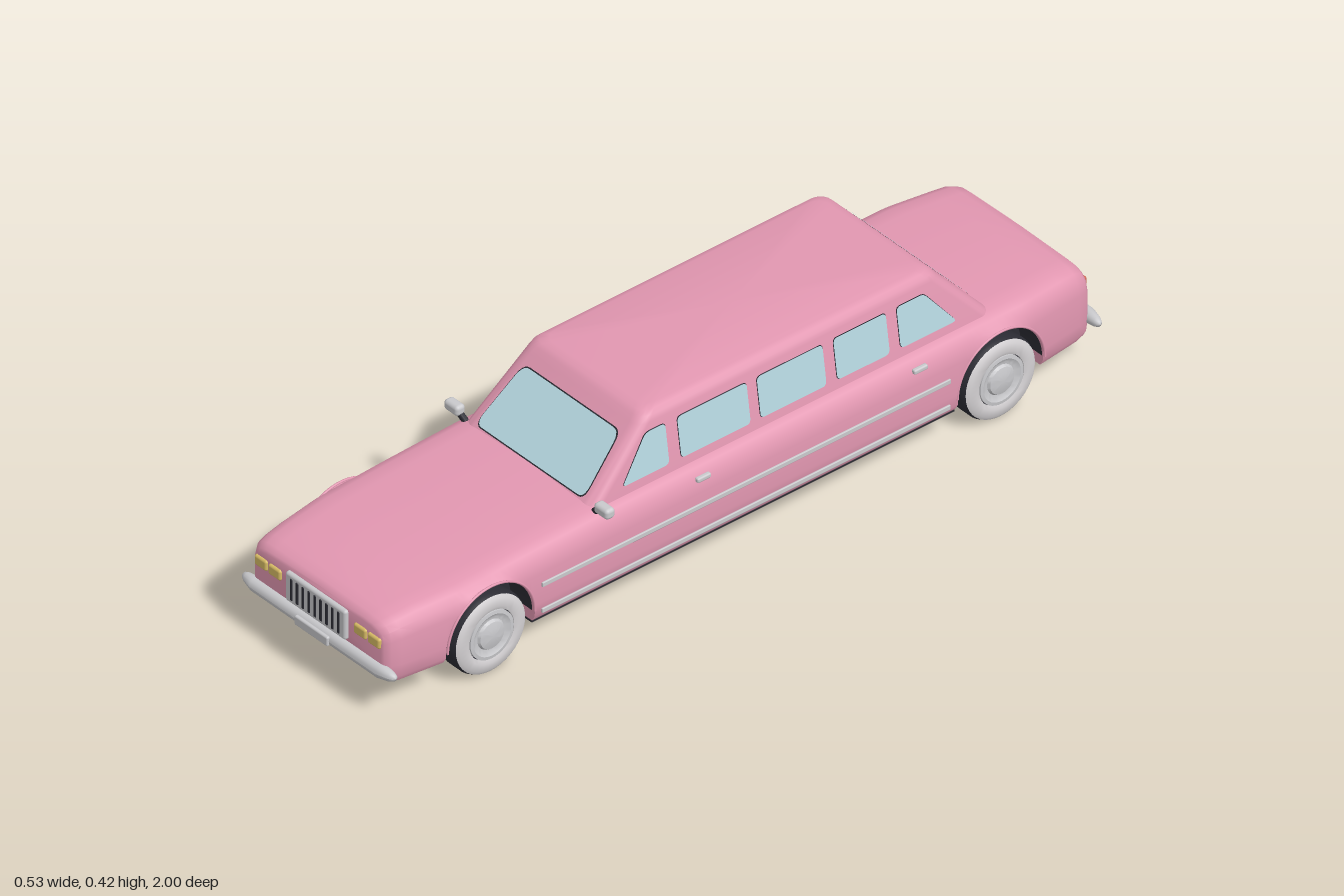
import * as THREE from 'three';
import { toCreasedNormals } from 'three/addons/utils/BufferGeometryUtils.js';
import { RoundedBoxGeometry } from 'three/addons/geometries/RoundedBoxGeometry.js';

const paint = (name, color, side = THREE.FrontSide) => {
  const m = new THREE.MeshStandardMaterial({ color, side });
  m.name = name;
  return m;
};
const M = {
  pink: paint('pink paint', 0xe297b1),
  glass: paint('pale blue glass', 0xb6d8e1, THREE.DoubleSide),
  chrome: paint('chrome grey', 0xc9c9cc),
  wall: paint('white wall', 0xd4d1d3),
  dark: paint('dark rubber', 0x2b2b33, THREE.DoubleSide),
  amber: paint('amber lamp', 0xd8bc66),
  red: paint('red lamp', 0xcf6552),
};
const AXLES = [0.708, -0.703], ARCH_Y = 0.105, ARCH_R = 0.12, SILL = 0.075;

// Surface through equal rings of points, with both ends closed by fans
function loft(rings, crease) {
  const n = rings[0].length, pos = rings.flat(2), idx = [];
  for (let s = 0; s < rings.length - 1; s++)
    for (let i = 0; i < n; i++) {
      const a = s * n + i, b = s * n + (i + 1) % n, c = a + n, d = b + n;
      idx.push(a, c, b, b, c, d);
    }
  [0, rings.length - 1].forEach((s, end) => {
    const mid = [0, 1, 2].map(k => rings[s].reduce((t, p) => t + p[k], 0) / n);
    const m = pos.push(...mid) / 3 - 1;
    for (let i = 0; i < n; i++) {
      const a = s * n + i, b = s * n + (i + 1) % n;
      idx.push(m, ...(end ? [b, a] : [a, b]));
    }
  });
  const g = new THREE.BufferGeometry();
  g.setAttribute('position', new THREE.Float32BufferAttribute(pos, 3));
  g.setIndex(idx);
  return toCreasedNormals(g, crease);
}

// Lower body: half section, bottom to centre, shaped along z
const HALF = [[0.236, SILL], [0.245, 0.09], [0.247, 0.12], [0.247, 0.2], [0.24, 0.234],
  [0.226, 0.251], [0.205, 0.26], [0.17, 0.263], [0, 0.266]];
const TOP = [[-0.98, 0.246], [-0.93, 0.26], [-0.8, 0.265], [0.4, 0.265], [0.6, 0.257], [0.9, 0.24], [0.98, 0.226]];
function topAt(z) {
  const i = Math.max(1, TOP.findIndex(p => p[0] >= z));
  const [a, b] = [TOP[i - 1], TOP[i]];
  return a[1] + (b[1] - a[1]) * (z - a[0]) / (b[0] - a[0]);
}
function bodyRing(z, bottom = SILL, inset = 0) {
  const w = (1 - 0.1 * Math.max(0, (Math.abs(z) - 0.78) / 0.19)) * (1 - inset / 0.24);
  const half = HALF.map(([x, y]) => {
    let h = y + (topAt(z) - 0.266) * Math.max(0, (y - 0.15) / 0.116);
    h = Math.max(h, bottom);
    return [x * w, 0.16 + (h - 0.16) * (1 - inset / 0.085), z];
  });
  return [...half, ...half.slice(0, -1).reverse().map(([x, y]) => [-x, y, z])];
}
function bodyGeometry() {
  const arch = zc => {
    const out = [bodyRing(zc + ARCH_R)];
    for (let i = 0; i <= 20; i++) {
      const t = Math.PI * i / 20;
      out.push(bodyRing(zc + ARCH_R * Math.cos(t), ARCH_Y + ARCH_R * Math.sin(t)));
    }
    return [...out, bodyRing(zc - ARCH_R)];
  };
  return loft([
    bodyRing(0.978, SILL, 0.02), bodyRing(0.975, SILL, 0.012), bodyRing(0.963, SILL, 0.003),
    bodyRing(0.94), bodyRing(0.89), ...arch(AXLES[0]),
    ...[0.5, 0.4, 0, -0.4].map(z => bodyRing(z)), ...arch(AXLES[1]),
    bodyRing(-0.89), bodyRing(-0.935), bodyRing(-0.96, SILL, 0.003),
    bodyRing(-0.971, SILL, 0.012), bodyRing(-0.974, SILL, 0.02),
  ], 0.6);
}

// Cabin: rounded rectangles stacked upwards
function cabinRing([y, hx, zf, zr, r]) {
  const ring = [];
  [[1, zf], [-1, zf], [-1, zr], [1, zr]].forEach(([sx, z], q) => {
    const cz = z + (q < 2 ? -r : r);
    for (let i = 0; i <= 5; i++) {
      const t = (q + i / 5) * Math.PI / 2;
      ring.push([sx * (hx - r) + r * Math.cos(t), y, cz + r * Math.sin(t)]);
    }
  });
  return ring;
}
const cabinGeometry = () => loft([
  [0.25, 0.212, 0.41, -0.715, 0.03], [0.395, 0.191, 0.255, -0.585, 0.03], [0.408, 0.187, 0.243, -0.575, 0.03],
  [0.416, 0.179, 0.232, -0.565, 0.03], [0.42, 0.165, 0.215, -0.55, 0.03],
].map(cabinRing), 0.6);
const rise = y => (y - 0.25) / 0.145;
const sideX = y => 0.212 - 0.021 * rise(y);
const frontZ = y => 0.41 - 0.155 * rise(y);
const rearZ = y => -0.715 + 0.13 * rise(y);

// Rounded polygon laid on a sloping cabin face by a mapping rule
function pane(pts, r, place) {
  const v = pts.map(p => new THREE.Vector2(...p)), n = v.length, s = new THREE.Shape();
  v.forEach((p, i) => {
    const a = p.clone().add(v[(i + n - 1) % n].clone().sub(p).setLength(r));
    const b = p.clone().add(v[(i + 1) % n].clone().sub(p).setLength(r));
    i ? s.lineTo(a.x, a.y) : s.moveTo(a.x, a.y);
    s.quadraticCurveTo(p.x, p.y, b.x, b.y);
  });
  const g = new THREE.ShapeGeometry(s, 5), pos = g.attributes.position;
  for (let i = 0; i < pos.count; i++) pos.setXYZ(i, ...place(pos.getX(i), pos.getY(i)));
  g.computeVertexNormals();
  return g;
}
const grow = (pts, d) => {
  const c = [0, 1].map(k => pts.reduce((t, p) => t + p[k], 0) / pts.length);
  return pts.map(p => p.map((q, k) => q + d * Math.sign(q - c[k])));
};

// Bumper: tapered bar bent slightly back at its ends
function bumperGeometry() {
  const pts = [[0, -0.248], [0.007, -0.245], [0.012, -0.234], [0.017, -0.205], [0.017, 0.205],
    [0.012, 0.234], [0.007, 0.245], [0, 0.248]].map(p => new THREE.Vector2(...p));
  const g = new THREE.LatheGeometry(pts, 16).rotateZ(-Math.PI / 2);
  const p = g.attributes.position;
  for (let i = 0; i < p.count; i++) p.setZ(i, p.getZ(i) - 0.1 * Math.max(0, Math.abs(p.getX(i)) - 0.18));
  g.computeVertexNormals();
  return g;
}

export function createModel() {
  const car = new THREE.Group();
  car.name = 'limousine';
  const add = (name, geo, mat, x = 0, y = 0, z = 0, parent = car) => {
    const m = new THREE.Mesh(geo, mat);
    m.name = name;
    m.position.set(x, y, z);
    parent.add(m);
    return m;
  };
  const box = (w, h, d, r) => new RoundedBoxGeometry(w, h, d, 3, r);
  const lathe = pts => toCreasedNormals(new THREE.LatheGeometry(
    pts.map(p => new THREE.Vector2(...p)), 40).rotateZ(-Math.PI / 2), 0.6);
  const halfDrum = (length, open) => new THREE.CylinderGeometry(
    0.1175, 0.1175, length, 32, 1, open, 0, Math.PI).rotateZ(Math.PI / 2);

  add('lowerBody', bodyGeometry(), M.pink);
  add('cabin', cabinGeometry(), M.pink);
  add('chassis', new THREE.BoxGeometry(0.332, 0.12, 1.25), M.dark, 0, 0.118, 0);
  add('floor', new THREE.BoxGeometry(0.464, 0.03, 1.17), M.dark, 0, 0.081, 0);
  for (const z of AXLES) add('wheelWell', halfDrum(0.34, false), M.dark, 0, ARCH_Y, z);

  // Windscreen and rear window, each over a dark seal
  const ends = [
    ['windscreen', [[-0.176, 0.267], [0.176, 0.267], [0.156, 0.376], [-0.156, 0.376]], frontZ, 1],
    ['rearWindow', [[-0.172, 0.273], [0.172, 0.273], [0.153, 0.374], [-0.153, 0.374]], rearZ, -1],
  ];
  for (const [name, pts, zAt, s] of ends) {
    add(name + 'Seal', pane(grow(pts, 0.002), 0.02, (x, y) => [x, y + 0.001, zAt(y) + s * 0.001]), M.dark);
    add(name, pane(pts, 0.02, (x, y) => [x, y + 0.002, zAt(y) + s * 0.002]), M.glass);
  }

  // Side windows as (z, y) outlines
  const bar = (z0, z1) => [[z0, 0.279], [z0, 0.378], [z1, 0.378], [z1, 0.279]];
  const sideWindows = [
    [[0.315, 0.279], [0.24, 0.378], [0.185, 0.378], [0.185, 0.279]],
    bar(0.152, -0.04), bar(-0.068, -0.25), bar(-0.28, -0.425),
    [[-0.455, 0.279], [-0.455, 0.378], [-0.53, 0.378], [-0.61, 0.279]],
  ];
  for (const s of [1, -1]) {
    for (const pts of sideWindows) {
      add('sideWindowSeal', pane(grow(pts, 0.001), 0.012, (z, y) => [s * (sideX(y) + 0.001), y, z]), M.dark);
      add('sideWindow', pane(pts, 0.012, (z, y) => [s * (sideX(y) + 0.0025), y, z]), M.glass);
    }
    // Mouldings and door handles
    add('upperMoulding', box(0.006, 0.012, 1.13, 0.002), M.chrome, s * 0.248, 0.166, 0.005);
    add('lowerMoulding', box(0.008, 0.012, 1.13, 0.002), M.chrome, s * 0.246, 0.098, 0.005);
    for (const z of [0.12, -0.48])
      add('doorHandle', box(0.012, 0.012, 0.038, 0.004), M.chrome, s * 0.243, 0.232, z);
    // Mirror on a dark stem
    add('mirrorStem', box(0.035, 0.014, 0.014, 0.005), M.dark, s * 0.222, 0.262, 0.392).rotation.z = s * 0.5;
    add('mirror', box(0.046, 0.026, 0.026, 0.009), M.chrome, s * 0.244, 0.276, 0.394);
    // Lamps
    for (const x of [0.184, 0.139])
      add('headlight', box(0.04, 0.027, 0.02, 0.006), M.amber, s * x, 0.178, 0.974);
    add('tailLight', box(0.058, 0.032, 0.016, 0.005), M.red, s * 0.172, 0.199, -0.971);

    // Wheels with arch liners and lips
    for (const z of AXLES) {
      const wheel = new THREE.Group();
      wheel.name = 'wheel';
      wheel.position.set(s * 0.215, 0.1, z);
      wheel.rotation.y = s > 0 ? 0 : Math.PI;
      car.add(wheel);
      add('tyre', lathe([[0, -0.032], [0.085, -0.032], [0.095, -0.027], [0.1, -0.018], [0.1, 0.018],
        [0.096, 0.027], [0.088, 0.03], [0.06, 0.026], [0, 0.018]]), M.dark, 0, 0, 0, wheel);
      add('whiteWall', lathe([[0.096, 0.0275], [0.088, 0.033], [0.07, 0.035], [0.062, 0.032], [0.062, 0.02]]),
        M.wall, 0, 0, 0, wheel);
      add('hubcap', lathe([[0.06, 0.02], [0.06, 0.033], [0.052, 0.034], [0.042, 0.028], [0.037, 0.028],
        [0.033, 0.034], [0.018, 0.038], [0, 0.039]]), M.chrome, 0, 0, 0, wheel);
      add('archLiner', halfDrum(0.08, true), M.dark, s * 0.2, ARCH_Y, z);
      add('archLip', new THREE.TorusGeometry(0.121, 0.003, 8, 32, Math.PI).rotateY(Math.PI / 2),
        M.pink, s * 0.2455, ARCH_Y, z);
    }
  }

  // Grille with dark slots
  add('grille', box(0.196, 0.076, 0.022, 0.007), M.chrome, 0, 0.17, 0.977);
  for (let i = -4; i <= 4; i++)
    add('grilleSlot', box(0.008, 0.056, 0.006, 0.0025), M.dark, i * 0.0192, 0.17, 0.987);

  // Bumpers and plates
  add('frontBumper', bumperGeometry(), M.chrome, 0, 0.11, 0.981);
  add('rearBumper', bumperGeometry().rotateY(Math.PI), M.chrome, 0, 0.117, -0.982);
  add('frontPlate', box(0.108, 0.024, 0.01, 0.004), M.chrome, 0, 0.11, 0.995);
  add('rearPlate', box(0.085, 0.018, 0.012, 0.004), M.chrome, 0, 0.168, -0.973);
  add('bootTrim', box(0.17, 0.007, 0.008, 0.002), M.chrome, 0, 0.2, -0.973);
  return car;
}
